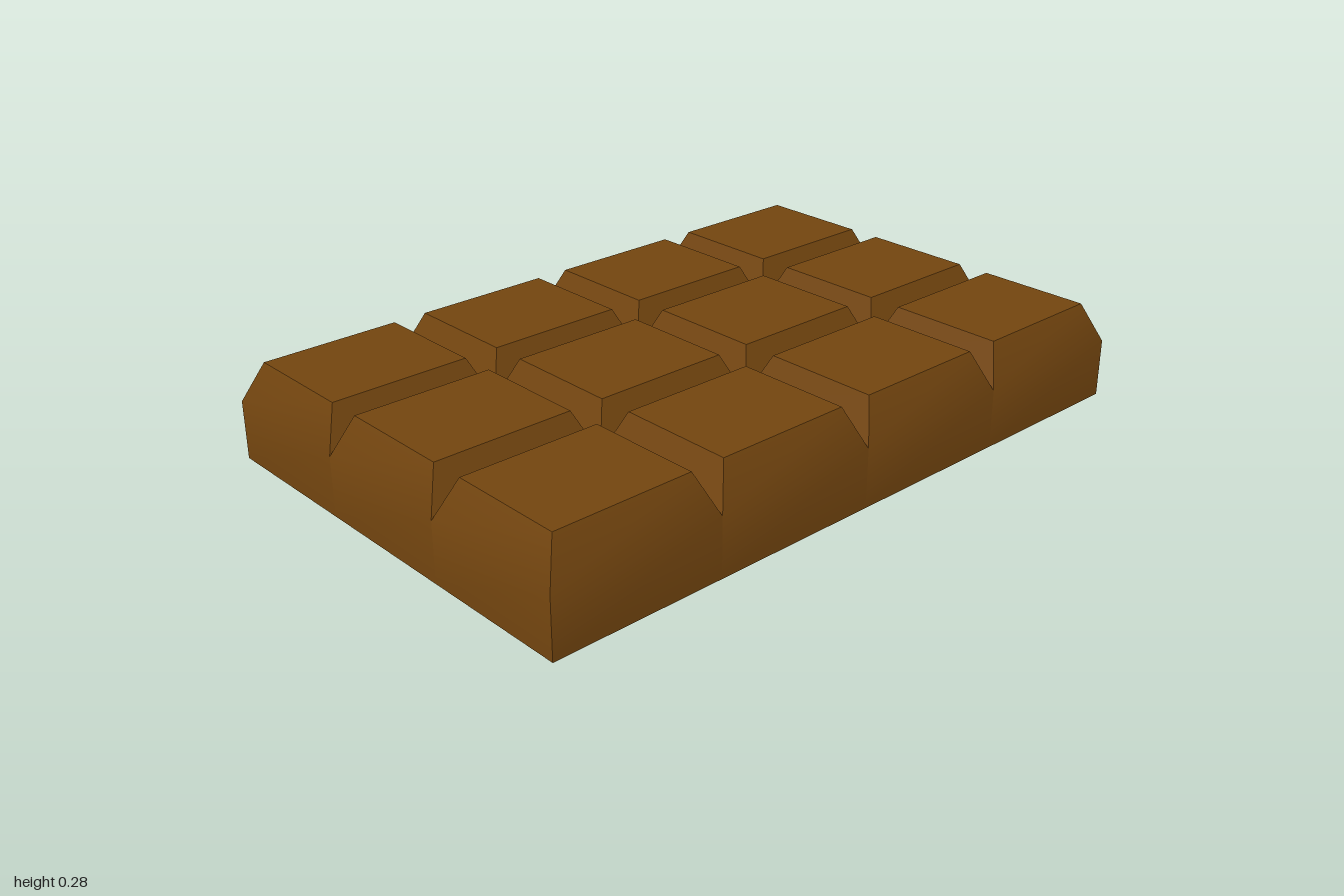
import * as THREE from 'three';
import { toCreasedNormals } from 'three/addons/utils/BufferGeometryUtils.js';

const COLS = 4, ROWS = 3;
const WIDTH = 2, DEPTH = 1.3;
const GROOVE_Y = 0.167, TOP_Y = 0.28, BEVEL = 0.05;

// Four corners of a rectangle, counterclockwise seen from above, starting at +x +z
function ring(cx, cz, w, d, y) {
  return [[1, 1], [1, -1], [-1, -1], [-1, 1]].map(([sx, sz]) => [cx + sx * w / 2, y, cz + sz * d / 2]);
}

// One square of the bar: bevelled top, plus a side wall wherever it meets the rim
function squareGeometry(col, row) {
  const w = WIDTH / COLS, d = DEPTH / ROWS;
  const cx = (col + 0.5) * w - WIDTH / 2, cz = (row + 0.5) * d - DEPTH / 2;
  const foot = ring(cx, cz, w, d, 0);
  const groove = ring(cx, cz, w, d, GROOVE_Y);
  const top = ring(cx, cz, w - 2 * BEVEL, d - 2 * BEVEL, TOP_Y);
  const onRim = [col === COLS - 1, row === 0, col === 0, row === ROWS - 1];

  const points = [];
  const quad = (a, b, c, e) => points.push(...a, ...b, ...c, ...a, ...c, ...e);
  quad(...top);
  for (let i = 0; i < 4; i++) {
    const j = (i + 1) % 4;
    quad(groove[i], groove[j], top[j], top[i]);
    if (onRim[i]) quad(foot[i], foot[j], groove[j], groove[i]);
  }
  const geometry = new THREE.BufferGeometry();
  geometry.setAttribute('position', new THREE.Float32BufferAttribute(points, 3));
  // Soft between wall and bevel, sharp around the top
  return toCreasedNormals(geometry, Math.PI / 6);
}

export function createModel() {
  const bar = new THREE.Group();
  bar.name = 'chocolateBar';
  const chocolate = new THREE.MeshStandardMaterial({ color: 0x73450f });

  // Grid of squares
  for (let row = 0; row < ROWS; row++) {
    for (let col = 0; col < COLS; col++) {
      const square = new THREE.Mesh(squareGeometry(col, row), chocolate);
      square.name = `square row ${row + 1} column ${col + 1}`;
      bar.add(square);
    }
  }

  // Flat underside
  const underside = new THREE.Mesh(new THREE.PlaneGeometry(WIDTH, DEPTH).rotateX(Math.PI / 2), chocolate);
  underside.name = 'underside';
  bar.add(underside);
  return bar;
}
